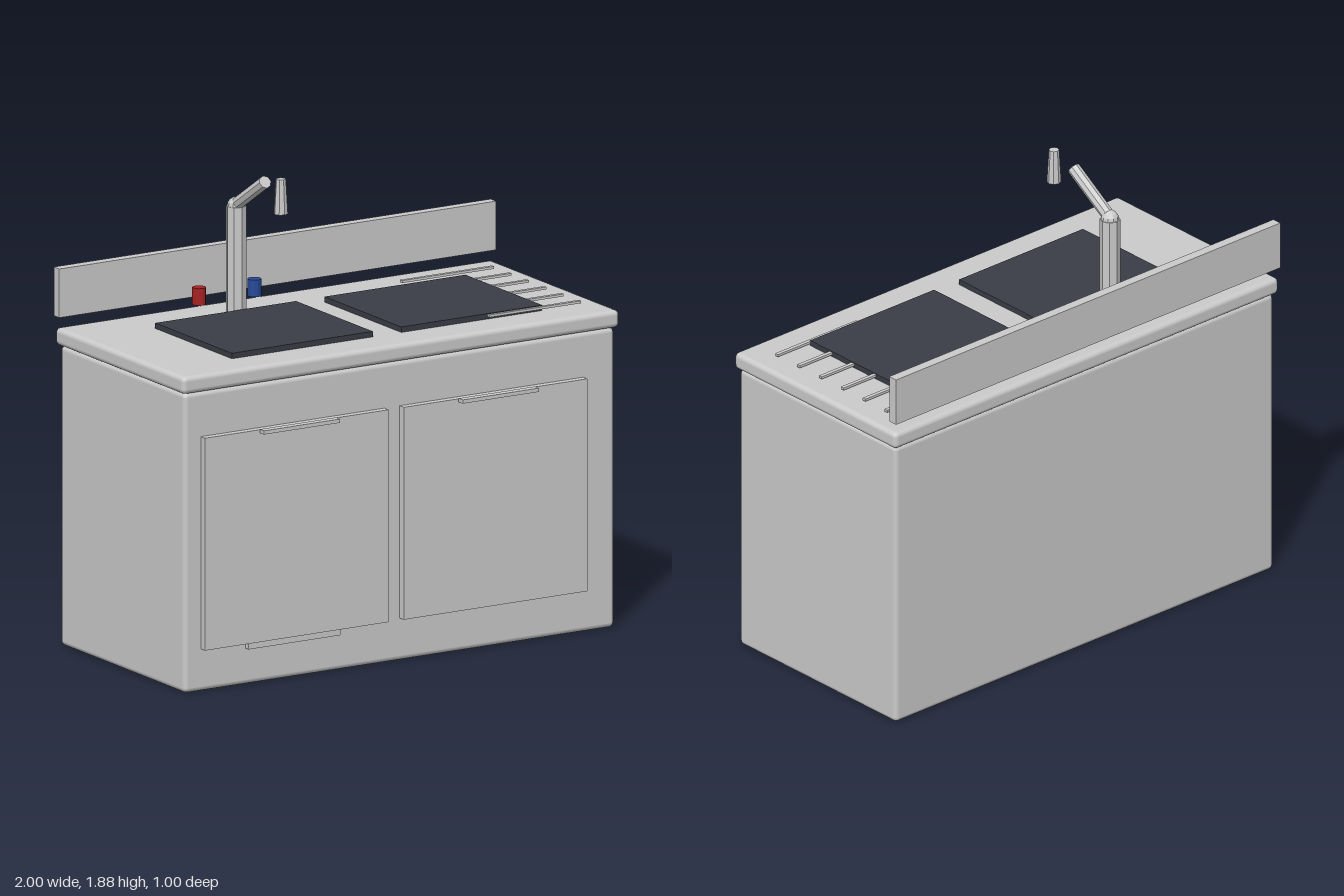
import * as THREE from 'three';
import { RoundedBoxGeometry } from 'three/addons/geometries/RoundedBoxGeometry.js';

export function createModel() {
  const model = new THREE.Group();
  model.name = 'kitchenSink';

  const mat = (color) => new THREE.MeshStandardMaterial({ color });
  const grey = mat(0xcccccc);
  const basinDark = mat(0x3a3d47);
  const red = mat(0xa82222);
  const blue = mat(0x264a99);
  const metal = mat(0xcccccc);
  for (const m of [metal, red, blue]) m.flatShading = true;

  const add = (name, geometry, material = grey) => {
    const mesh = new THREE.Mesh(geometry, material);
    mesh.name = name;
    model.add(mesh);
    return mesh;
  };

  // Boxes are given by their limits on each axis
  const box = (name, [x0, x1], [y0, y1], [z0, z1], material = grey, radius = 0) => {
    const size = [x1 - x0, y1 - y0, z1 - z0];
    const geometry = radius
      ? new RoundedBoxGeometry(...size, 2, radius)
      : new THREE.BoxGeometry(...size);
    add(name, geometry, material)
      .position.set((x0 + x1) / 2, (y0 + y1) / 2, (z0 + z1) / 2);
  };

  // Round part between two points
  const rod = (name, a, b, r0, r1, sides, material = metal) => {
    const from = new THREE.Vector3(...a);
    const to = new THREE.Vector3(...b);
    const dir = to.clone().sub(from);
    const mesh = add(name, new THREE.CylinderGeometry(r1, r0, dir.length(), sides), material);
    mesh.position.copy(from).add(to).multiplyScalar(0.5);
    mesh.quaternion.setFromUnitVectors(new THREE.Vector3(0, 1, 0), dir.normalize());
  };

  // Cabinet, worktop and splashback
  box('cabinet', [-0.985, 0.985], [0, 1.2], [-0.48, 0.43], grey, 0.02);
  box('countertop', [-1, 1], [1.2, 1.27], [-0.495, 0.445], grey, 0.02);
  box('backsplash', [-1, 1], [1.315, 1.51], [-0.5, -0.46]);

  // Doors with their handles standing off the top edge
  for (const [side, x] of [['right', -0.91], ['left', 0]]) {
    box(side + 'Door', [x, x + 0.84], [0.17, 1.02], [0.42, 0.46]);
    box(side + 'Handle', [x + 0.245, x + 0.593], [1.01, 1.025], [0.47, 0.5]);
  }
  box('kickPlate', [-0.705, -0.285], [0.145, 0.19], [0.42, 0.452]);

  // Two dark basins
  for (const [side, x] of [['right', -0.68], ['left', 0.095]]) {
    box(side + 'Basin', [x, x + 0.645], [1.268, 1.292], [-0.27, 0.29], basinDark);
  }

  // Draining ridges
  for (let i = 0; i < 6; i++) {
    const z = -0.34 + i * 0.127;
    box('drainRidge' + (i + 1), [0.49, 0.91], [1.279, 1.289], [z - 0.008, z + 0.008]);
  }

  // Tap: column, joint, sloping arm and separate nozzle
  const x = -0.285;
  const z = -0.308;
  rod('tapColumn', [x, 1.27, z], [x, 1.7, z], 0.04, 0.04, 8);
  add('tapJoint', new THREE.SphereGeometry(0.036, 10, 8), metal).position.set(x, 1.7, z);
  rod('tapArm', [x, 1.705, z], [x, 1.84, -0.097], 0.026, 0.026, 8);
  rod('tapNozzle', [x, 1.738, 0.017], [x, 1.877, 0.017], 0.028, 0.02, 8);

  // Hot and cold knobs
  rod('hotKnob', [-0.41, 1.307, -0.38], [-0.41, 1.375, -0.38], 0.027, 0.027, 12, red);
  rod('coldKnob', [-0.157, 1.307, -0.38], [-0.157, 1.375, -0.38], 0.027, 0.027, 12, blue);

  return model;
}
